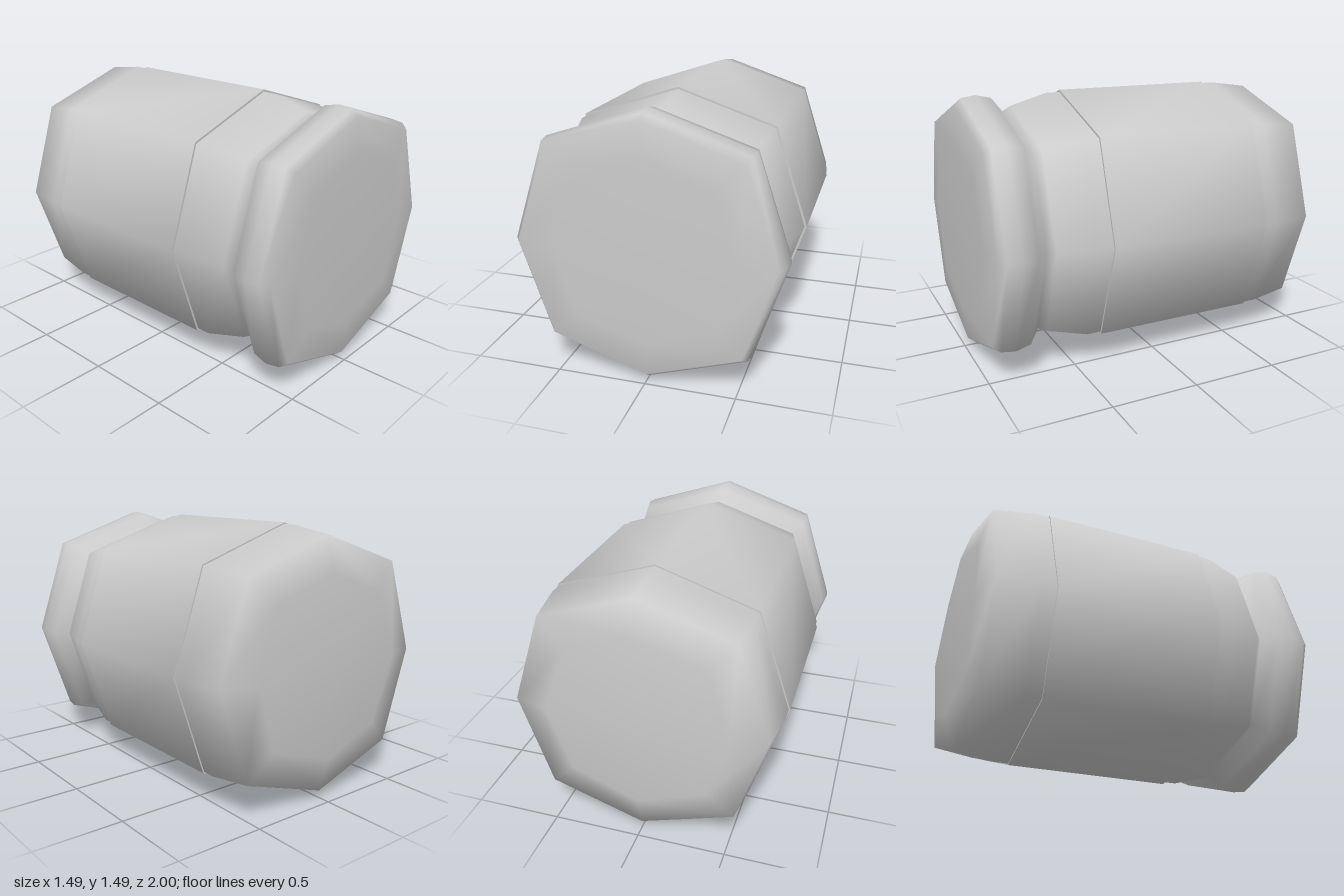
import * as THREE from 'three';
import { mergeVertices, toCreasedNormals } from 'three/addons/utils/BufferGeometryUtils.js';

const CENTER_Y = 0.745;
const DIAGONAL = 1.062; // the four diagonal corners stand out further than the axis corners

// Eight-sided turned shape lying along z; profile is [radius, z] from back to front
function turned(profile) {
  const geo = new THREE.LatheGeometry(profile.map(([r, z]) => new THREE.Vector2(r, z)), 8);
  geo.rotateX(Math.PI / 2);
  const p = geo.attributes.position;
  for (let i = 0; i < p.count; i++) {
    const x = p.getX(i), y = p.getY(i), z = p.getZ(i);
    if (Math.abs(x) > 0.05 && Math.abs(y) > 0.05) {
      // the rounded back cap dips a little at its diagonals
      p.setXYZ(i, x * DIAGONAL, y * DIAGONAL, z < -0.97 ? z + 0.02 : z);
    }
  }
  geo.deleteAttribute('uv');
  geo.deleteAttribute('normal');
  return mergeVertices(geo, 1e-4);
}

export function createModel() {
  const group = new THREE.Group();
  group.name = 'jar';
  const material = new THREE.MeshStandardMaterial({ color: 0xcccccc });

  // Body with rounded back, narrow neck and bulging front rim
  const bodyGeo = turned([
    [0, -1], [0.505, -0.985], [0.703, -0.93], [0.737, -0.69],
    [0.732, 0.44], [0.67, 0.66], [0.635, 0.7],
    [0.722, 0.77], [0.742, 0.86], [0.73, 0.94], [0.697, 0.98],
    [0.5, 0.996], [0, 1],
  ]);
  bodyGeo.computeVertexNormals();
  const body = new THREE.Mesh(bodyGeo, material);
  body.name = 'body';

  // Band wrapped round the middle, with sharp ends
  const bandGeo = turned([[0.725, -0.61], [0.745, -0.61], [0.745, 0.36], [0.725, 0.36]]);
  const band = new THREE.Mesh(toCreasedNormals(bandGeo, 1.1), material);
  band.name = 'band';

  for (const part of [body, band]) {
    part.position.y = CENTER_Y;
    group.add(part);
  }
  return group;
}
